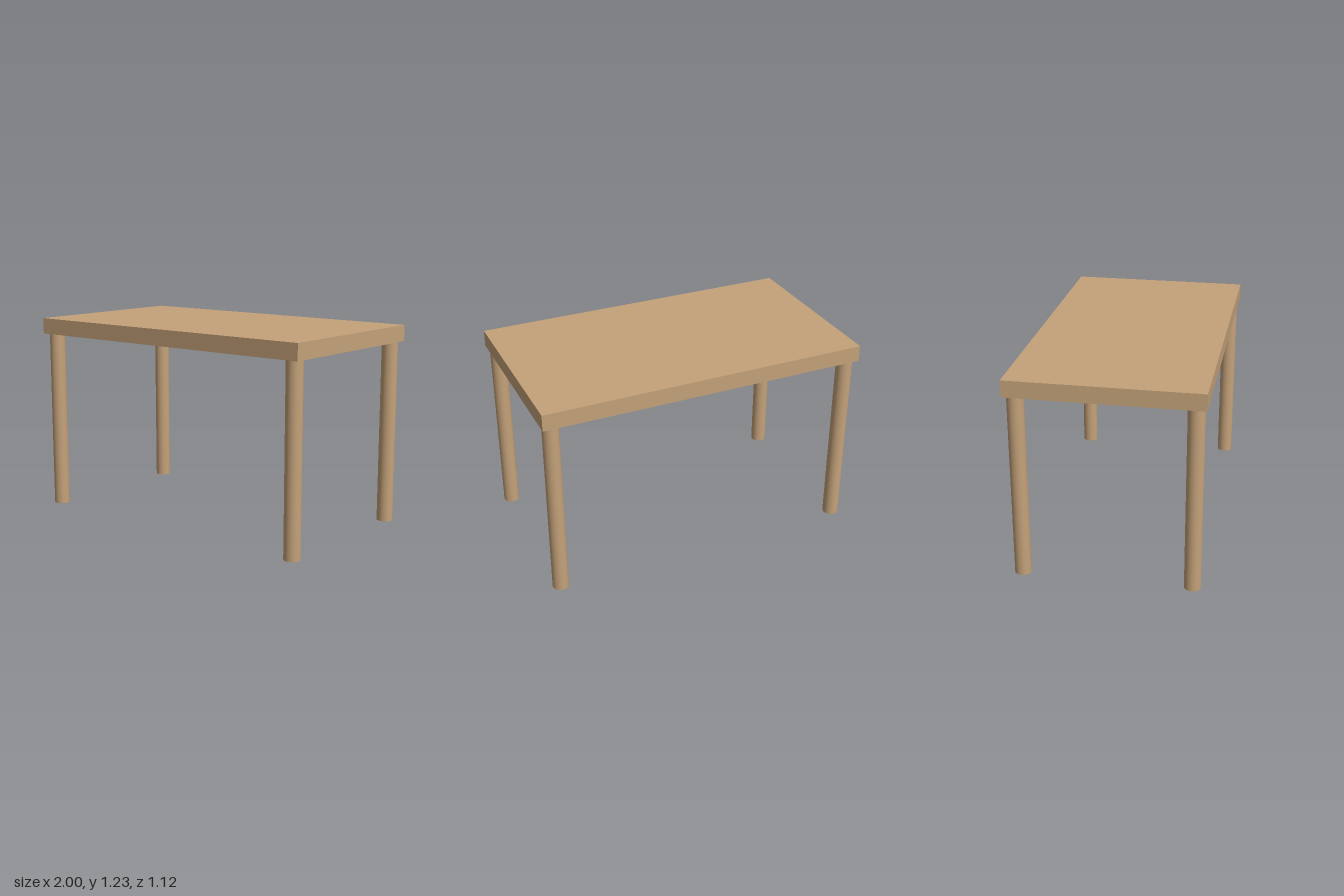
import * as THREE from 'three';

export function createModel() {
  const table = new THREE.Group();
  table.name = 'table';
  const wood = new THREE.MeshStandardMaterial({ color: 0xc4a27a });

  const legHeight = 1.126, topThickness = 0.099;

  // Flat rectangular slab
  const top = new THREE.Mesh(new THREE.BoxGeometry(2, topThickness, 1.125), wood);
  top.name = 'tableTop';
  top.position.y = legHeight + topThickness / 2;
  table.add(top);

  // Four round legs, one near each corner
  const legGeometry = new THREE.CylinderGeometry(0.049, 0.049, legHeight, 32);
  for (const [end, z] of [['front', 0.5], ['back', -0.5]]) {
    for (const [side, x] of [['Left', 0.938], ['Right', -0.938]]) {
      const leg = new THREE.Mesh(legGeometry, wood);
      leg.name = `${end}${side}Leg`;
      leg.position.set(x, legHeight / 2, z);
      table.add(leg);
    }
  }
  return table;
}
